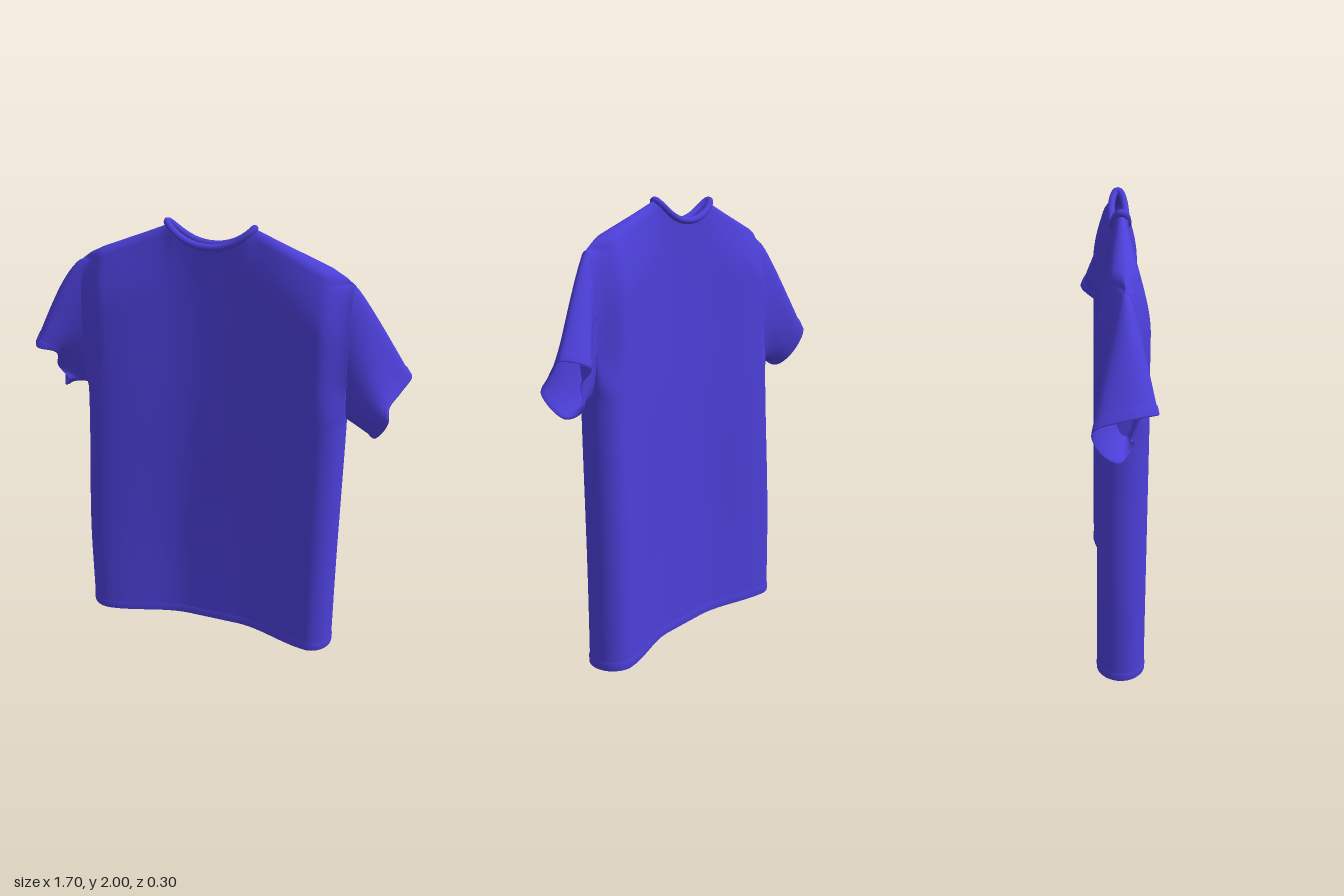
import * as THREE from 'three';
import { mergeVertices } from 'three/addons/utils/BufferGeometryUtils.js';

const V = (x, y, z) => new THREE.Vector3(x, y, z);
const { lerp, smoothstep, clamp } = THREE.MathUtils;
const round = (t) => Math.sqrt(Math.max(0, 1 - t * t));

// Smooth skin over a grid of points: u runs around the loop, v along it
function skin(nu, nv, point) {
  const pos = [], index = [];
  for (let j = 0; j <= nv; j++)
    for (let i = 0; i <= nu; i++) pos.push(...point((i % nu) / nu, j / nv).toArray());
  for (let j = 0; j < nv; j++)
    for (let i = 0; i < nu; i++) {
      const a = j * (nu + 1) + i, b = a + 1, c = a + nu + 1, d = c + 1;
      index.push(a, b, d, a, d, c);
    }
  let geo = new THREE.BufferGeometry();
  geo.setAttribute('position', new THREE.Float32BufferAttribute(pos, 3));
  geo.setIndex(index);
  geo = mergeVertices(geo, 1e-4);
  geo.computeVertexNormals();
  return geo;
}

// Neck: q is 0 at its middle and 1 at its two corners
const NECK_X = -0.015, NECK_W = 0.19;
const neckQ = (x) => Math.abs(x - NECK_X) / NECK_W;
const neckHalf = (x) => 0.031 * round(Math.min(1, neckQ(x)) ** 2.5);
const neckY = (x) => 1.895 + 0.088 * neckQ(x) ** 2.2;

// Shoulder slope, from the neck corner out to the sleeve
const SLOPE = [[0.18, 1.98], [0.3, 1.93], [0.4, 1.89], [0.5, 1.85], [0.56, 1.82], [0.6, 1.79]];
function topY(x) {
  if (neckQ(x) <= 1) return neckY(x);
  const a = clamp(Math.abs(x), 0.18, 0.6);
  const i = Math.max(1, SLOPE.findIndex((p) => p[0] >= a - 1e-6));
  const [p, q] = [SLOPE[i - 1], SLOPE[i]];
  return lerp(p[1], q[1], (a - p[0]) / (q[0] - p[0]));
}

// Armhole, pinched thinner than the chest
const ARM_Y = 1.495, ARM_H = 0.295, ARM_T = 0.055;
const midZ = (x, y) => 0.012 - 0.01 * x + 0.01 * smoothstep(y, 0, 1.6);

// Point on the body; s = -1..1 across, y = height, face = 1 front, -1 back
function bodyPoint(s, y, face, grow = 0) {
  const x0 = s * 0.6, a = Math.abs(s), d = Math.max(0, topY(x0) - y);
  const low = 1 - smoothstep(y, 0.3, 1.3);
  const half = s < 0 ? lerp(0.602, 0.645, low) : lerp(0.6, 0.592, low);
  // flat in the middle, full towards the sides, more so at the hem
  const flat = lerp(0.024, 0.014, low);
  const full = lerp(flat, 0.106, smoothstep(a, lerp(0.08, 0.2, low), 0.88));
  const swell = 0.4 * round(1 - Math.min(1, d / 0.035))
    + 0.6 * Math.sin(Math.min(1, d / 0.28) * Math.PI / 2);
  const t = lerp(neckHalf(x0), full, swell);
  const side = ARM_T * round(Math.min(1, Math.abs(y - ARM_Y) / ARM_H));
  // round side seam below the arm, soft run into the sleeve above it
  const edge = lerp(round(Math.max(0, (a - 0.83) / 0.17)),
    1 - smoothstep(a, 0.8, 1.02), smoothstep(y, 1.2, 1.4));
  const z = lerp(side, t, edge) + grow * edge;
  return V(s * (half + grow), y, midZ(x0, y) + face * z);
}

// Turns a loop position into front or back and left-to-right, denser at the sides
function around(u) {
  const face = u < 0.5 ? 1 : -1;
  const a = face > 0 ? u * 4 - 1 : 3 - u * 4;
  return [Math.sin(a * Math.PI / 2), face];
}

// Cuff edges, from the top of the sleeve over the front, bottom and back
const CUFFS = {
  left: [[0.845, 1.39, -0.08], [0.815, 1.34, -0.01], [0.785, 1.295, 0.06], [0.79, 1.24, 0.09],
    [0.725, 1.135, 0.03], [0.685, 1.165, -0.03], [0.71, 1.27, -0.05], [0.755, 1.36, -0.15]],
  right: [[-0.85, 1.39, 0.05], [-0.8, 1.385, 0.145], [-0.735, 1.355, 0.1], [-0.76, 1.265, 0.045],
    [-0.7, 1.215, 0.06], [-0.75, 1.16, 0.01], [-0.785, 1.21, -0.06], [-0.845, 1.34, -0.095]],
};

function sleevePoint(side, bulge) {
  const curve = new THREE.CatmullRomCurve3(
    CUFFS[side > 0 ? 'left' : 'right'].map((p) => V(...p)), true, 'centripetal');
  const centre = curve.getPoints(32).reduce((c, p) => c.addScaledVector(p, 1 / 33), V(0, 0, 0));
  return (u, w, grow = 1) => {
    const k = side > 0 ? u : (1 - u) % 1, a = k * Math.PI * 2;
    const y = ARM_Y + ARM_H * Math.cos(a);
    const start = V(side * 0.598, y, midZ(side * 0.6, y) + ARM_T * Math.sin(a));
    const end = curve.getPoint(k).sub(centre).multiplyScalar(grow).add(centre);
    const p = start.lerp(end, w);
    const lift = bulge * Math.max(0, Math.cos(a)) * Math.sin(Math.PI * w ** 0.6);
    return p.add(V(side * lift, lift * 0.5, 0));
  };
}

export function createModel() {
  const shirt = new THREE.Group();
  shirt.name = 'shirt';
  const cloth = new THREE.MeshStandardMaterial({ color: 0x4c3fd8, side: THREE.DoubleSide });
  const add = (name, geo) => {
    const mesh = new THREE.Mesh(geo, cloth);
    mesh.name = name;
    shirt.add(mesh);
  };

  // Body: front and back in one skin, open at hem, neck and armholes
  add('body', skin(160, 64, (u, v) => {
    const [s, face] = around(u);
    return bodyPoint(s, (1 - (1 - v) ** 2) * topY(s * 0.6), face);
  }));

  // Hem: folded band around the bottom edge
  const HEM = [[0.03, -0.003], [0, -0.002], [0.002, 0.002], [0.03, 0.003], [0.042, 0]];
  add('hem', skin(120, 4, (u, v) => {
    const [s, face] = around(u), [y, grow] = HEM[Math.round(v * 4)];
    return bodyPoint(s, y, face, grow);
  }));

  // Collar: rib following the neck opening
  const neckLoop = [];
  for (let i = 0; i < 48; i++) {
    const [s, face] = around(i / 48);
    const x = NECK_X + s * NECK_W, y = neckY(x);
    neckLoop.push(V(x, y, midZ(x, y) + face * neckHalf(x)));
  }
  add('collar', new THREE.TubeGeometry(
    new THREE.CatmullRomCurve3(neckLoop, true), 120, 0.015, 10, true));

  // Sleeves with a folded cuff band each
  const BAND = [[0.9, 1], [0.91, 1.03], [0.99, 1.03], [1, 1.01], [0.99, 0.98], [0.92, 0.97]];
  for (const [side, name, bulge] of [[1, 'left', 0.007], [-1, 'right', 0.028]]) {
    const point = sleevePoint(side, bulge);
    add(name + 'Sleeve', skin(64, 20, (u, v) => point(u, v)));
    add(name + 'Cuff', skin(64, 5, (u, v) => point(u, ...BAND[Math.round(v * 5)])));
  }
  return shirt;
}
